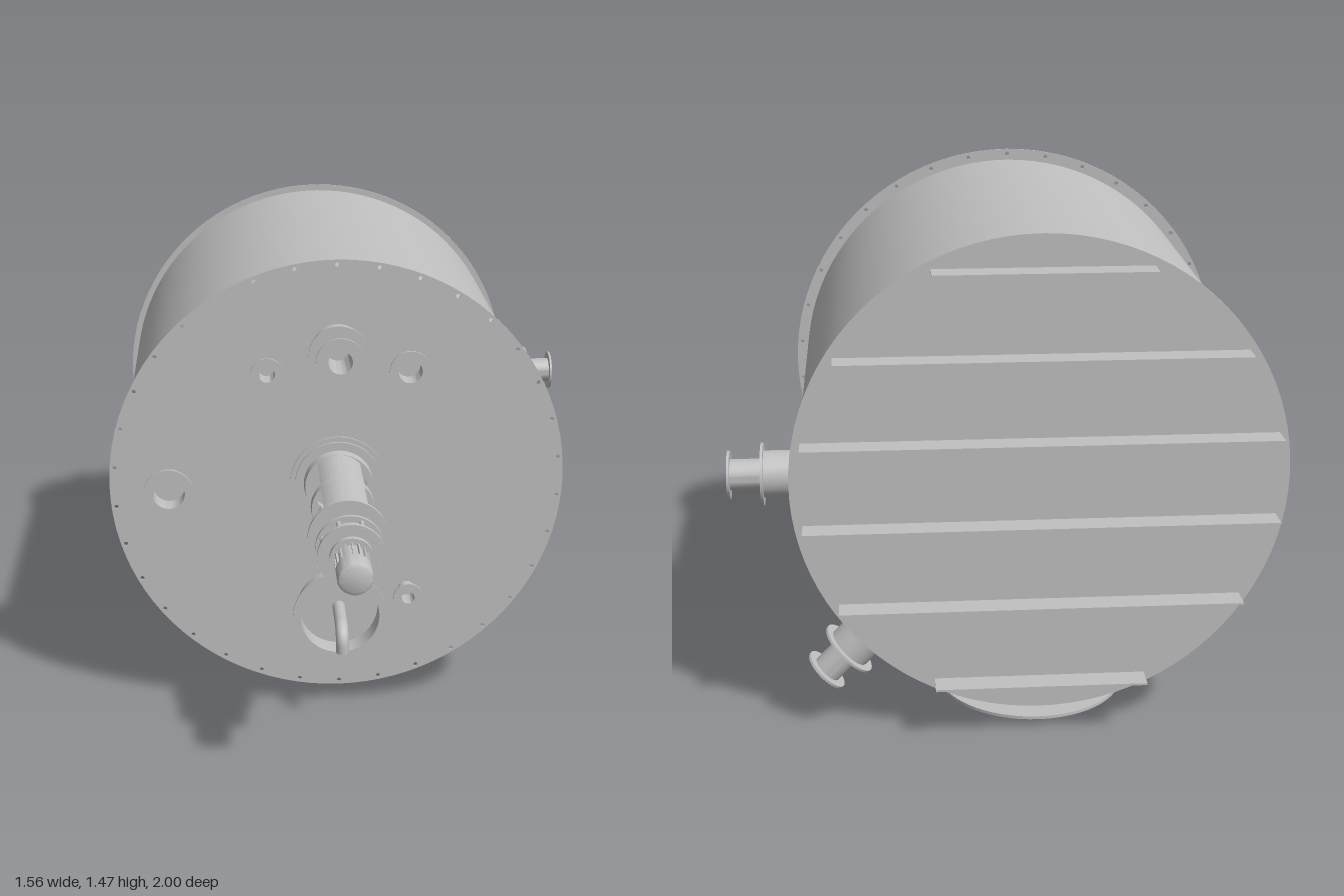
import * as THREE from 'three';
import { toCreasedNormals } from 'three/addons/utils/BufferGeometryUtils.js';

export function createModel() {
  const model = new THREE.Group();
  model.name = 'pressureTank';
  const steel = new THREE.MeshStandardMaterial({ color: 0xc0c0c0, side: THREE.DoubleSide });
  steel.name = 'steelGrey';

  const CX = -0.08, CY = 0.763, FRONT = 0.26, BACK = -0.925, R = 0.667;

  function add(name, geometry, x = 0, y = 0, z = 0, parent = model) {
    const mesh = new THREE.Mesh(geometry, steel);
    mesh.name = name;
    mesh.position.set(x, y, z);
    parent.add(mesh);
    return mesh;
  }
  // Turned solid: [radius, height] profile spun about y
  const turned = (profile, segments = 40) => toCreasedNormals(
    new THREE.LatheGeometry(profile.map(([r, h]) => new THREE.Vector2(r, h)), segments), 0.6);
  // The same, with its axis pointing to the front (+z)
  const turnedZ = (profile, segments) => turned(profile, segments).rotateX(Math.PI / 2);
  // Hollow pipe stub ending in a thin flange
  const stub = (pipe, flange, bore, h, t = 0.007) =>
    [[pipe, 0], [pipe, h - t], [flange, h - t], [flange, h], [bore, h], [bore, 0]];
  // Stub with a second, narrower pipe and end flange on top of it
  const doubleStub = (pipe, flange, neck, endFlange, bore, h1, h2, t = 0.007) =>
    [[pipe, 0], [pipe, h1 - t], [flange, h1 - t], [flange, h1], [neck, h1],
      [neck, h2 - t], [endFlange, h2 - t], [endFlange, h2], [bore, h2], [bore, 0]];

  // Tank shell and back plate
  add('tankShell', new THREE.CylinderGeometry(R, R, FRONT - BACK, 96, 1, true).rotateX(Math.PI / 2),
    CX, CY, (FRONT + BACK) / 2);
  add('backPlate', turnedZ([[0, 0], [0.687, 0], [0.687, 0.006], [0, 0.006]], 96), CX, CY, BACK - 0.004);

  // Front plate with a ring of bolt holes
  const plate = new THREE.Shape().absarc(0, 0, 0.702, 0, Math.PI * 2, false);
  const HOLES = 34;
  for (let i = 0; i < HOLES; i++) {
    const a = Math.PI / 2 + i * Math.PI * 2 / HOLES;
    const points = [];
    for (let k = 0; k < 10; k++) {
      const b = -k * Math.PI / 5;
      points.push(new THREE.Vector2(
        0.687 * Math.cos(a) + 0.0065 * Math.cos(b), 0.687 * Math.sin(a) + 0.0065 * Math.sin(b)));
    }
    plate.holes.push(new THREE.Path().setFromPoints(points));
  }
  add('frontPlate', toCreasedNormals(new THREE.ExtrudeGeometry(plate,
    { depth: 0.005, bevelEnabled: false, curveSegments: 48 }), 0.6), CX, CY, FRONT - 0.003);

  // Horizontal stiffening ribs on the back
  for (const [dy, half] of [[0.119, 0.653], [0.356, 0.56], [0.593, 0.297]]) {
    for (const s of [-1, 1]) {
      add('backRib', new THREE.BoxGeometry(half * 2, 0.006, 0.073), CX, CY + s * dy, -0.9635);
    }
  }

  // Single nozzles on the front: x, y, pipe, flange, bore
  for (const [x, y, pipe, flange, bore] of [
    [-0.295, 1.134, 0.031, 0.05, 0.024],
    [0.135, 1.134, 0.041, 0.063, 0.036],
    [-0.6, 0.763, 0.055, 0.076, 0.049],
    [0.135, 0.39, 0.028, 0.047, 0.02],
  ]) add('frontNozzle', turnedZ(stub(pipe, flange, bore, 0.068)), x, y, FRONT);

  // Stepped nozzle at the top of the front
  add('topFrontNozzle', turnedZ(doubleStub(0.078, 0.09, 0.04, 0.073, 0.036, 0.071, 0.142)),
    CX, 1.19, FRONT);

  // Manhole with an elbow pipe
  add('manholeRing', turnedZ(stub(0.133, 0.148, 0.124, 0.073)), CX, 0.335, FRONT);
  const elbow = new THREE.CurvePath();
  const v = (y, z) => new THREE.Vector3(0, y, z);
  elbow.add(new THREE.LineCurve3(v(0, 0), v(0, 0.13)));
  elbow.add(new THREE.CubicBezierCurve3(v(0, 0.13), v(0, 0.157), v(-0.021, 0.178), v(-0.048, 0.178)));
  elbow.add(new THREE.LineCurve3(v(-0.048, 0.178), v(-0.073, 0.178)));
  add('elbowPipe', new THREE.TubeGeometry(elbow, 40, 0.02, 16, false), CX, 0.337, FRONT);

  // Two stepped nozzles on the side of the shell
  for (const angle of [0, -Math.PI / 4]) {
    const nozzle = add('sideNozzle',
      turned(doubleStub(0.065, 0.087, 0.043, 0.067, 0.036, 0.124, 0.216)),
      CX + 0.64 * Math.cos(angle), CY + 0.64 * Math.sin(angle), -0.828);
    nozzle.rotation.z = angle - Math.PI / 2;
  }

  // Bottom outlet with its cover and handle
  add('bottomNeck', new THREE.CylinderGeometry(0.168, 0.168, 0.11, 48, 1, true), CX, 0.083, -0.636);
  add('bottomCover', turned([[0, 0], [0.272, 0], [0.272, 0.009], [0, 0.009]], 64), CX, 0.021, -0.636);
  add('coverHandle', new THREE.BoxGeometry(0.007, 0.006, 0.094), CX, 0.003, -0.638);
  for (const s of [-1, 1]) {
    add('handlePost', new THREE.BoxGeometry(0.007, 0.022, 0.006), CX, 0.011, -0.638 + s * 0.044);
  }

  // Agitator drive along the tank axis
  const drive = new THREE.Group();
  drive.name = 'agitatorDrive';
  drive.position.set(CX, CY, 0);
  model.add(drive);
  const disc = (name, r, z0, z1) =>
    add(name, turnedZ([[0, z0], [r, z0], [r, z1], [0, z1]]), 0, 0, 0, drive);
  const ring = (name, r0, r1, bore, z0, z1) =>
    add(name, turnedZ([[bore, z0], [r0, z0], [r1, z1], [bore, z1], [bore, z0]]), 0, 0, 0, drive);

  disc('drivePad', 0.148, 0.26, 0.268);
  disc('driveBase', 0.133, 0.268, 0.276);
  ring('lanternFoot', 0.107, 0.104, 0.085, 0.276, 0.305);
  ring('lanternBand', 0.095, 0.093, 0.078, 0.462, 0.487);
  ring('lanternHead', 0.083, 0.08, 0.06, 0.675, 0.702);

  // Upper and lower lantern legs, tapering towards the motor
  const H = 0.78, legShape = new THREE.Shape();
  legShape.absarc(0, 0, 0.092, Math.PI / 2 - H, Math.PI / 2 + H, false);
  legShape.absarc(0, 0, 0.079, Math.PI / 2 + H, Math.PI / 2 - H, true);
  for (const turn of [0, Math.PI]) {
    const leg = new THREE.ExtrudeGeometry(legShape, { depth: 0.41, bevelEnabled: false, curveSegments: 12 });
    const p = leg.attributes.position;
    for (let i = 0; i < p.count; i++) p.setY(i, p.getY(i) * (1.14 - 0.26 * p.getZ(i) / 0.41));
    add('lanternLeg', toCreasedNormals(leg, 0.6), 0, 0, 0.28, drive).rotation.z = turn;
  }

  // Shaft with couplings inside the lantern
  disc('shaft', 0.018, 0.27, 0.71);
  for (const [r, z0, z1] of [[0.05, 0.31, 0.325], [0.035, 0.325, 0.355], [0.05, 0.36, 0.39],
    [0.035, 0.39, 0.42], [0.055, 0.5, 0.515], [0.04, 0.515, 0.55], [0.055, 0.55, 0.565],
    [0.03, 0.62, 0.67]]) disc('shaftCoupling', r, z0, z1);

  // Gearbox flanges and housings
  disc('lanternFlange', 0.116, 0.7, 0.712);
  disc('gearboxNeck', 0.056, 0.712, 0.775);
  disc('gearboxFlange', 0.098, 0.772, 0.784);
  disc('gearboxHousing', 0.08, 0.784, 0.83);
  disc('motorFlange', 0.096, 0.83, 0.842);
  for (let i = 0; i < 8; i++) {
    const a = (i + 0.5) * Math.PI / 4;
    add('flangeBolt', new THREE.CylinderGeometry(0.007, 0.007, 0.075, 8).rotateX(Math.PI / 2),
      0.085 * Math.cos(a), 0.085 * Math.sin(a), 0.807, drive);
  }

  // Motor with rounded end and cooling fins
  add('motor', turnedZ([[0, 0.842], [0.062, 0.842], [0.062, 0.858], [0.043, 0.858], [0.043, 0.93],
    [0.05, 0.93], [0.05, 0.985], [0.046, 0.995], [0.036, 1], [0, 1]]), 0, 0, 0, drive);
  for (let i = 0; i < 16; i++) {
    const a = i * Math.PI / 8;
    add('motorFin', new THREE.BoxGeometry(0.014, 0.005, 0.074),
      0.043 * Math.cos(a), 0.043 * Math.sin(a), 0.894, drive).rotation.z = a;
  }

  return model;
}
